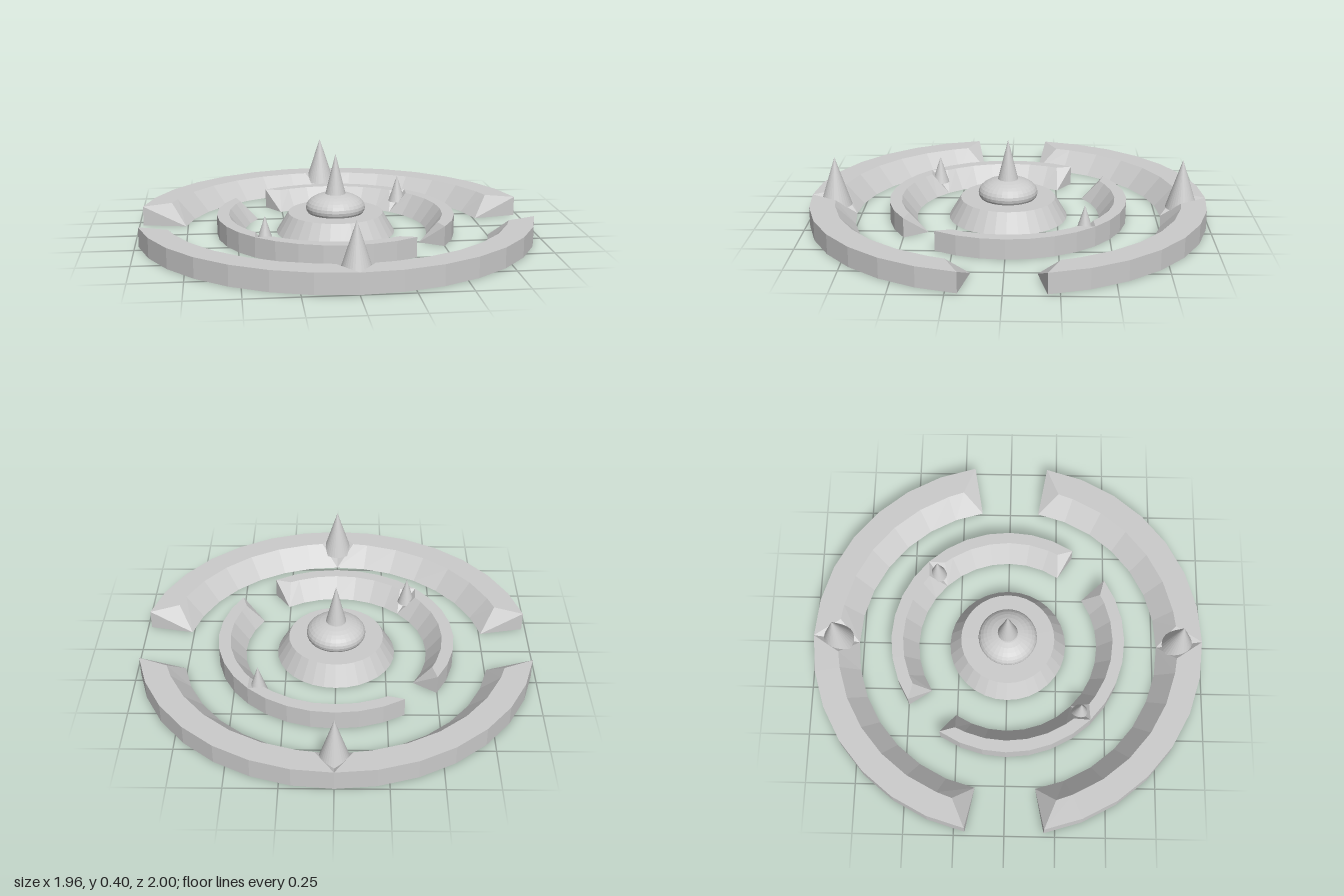
import * as THREE from 'three';

const material = new THREE.MeshStandardMaterial({ color: 0xcccccc, flatShading: true, side: THREE.DoubleSide });
const RIM = 0.1; // height of every ring
const STEP = Math.PI / 16; // the rings are 32-sided
const SEGMENTS = 7;

function addMesh(parent, name, geometry, x = 0, y = 0, z = 0) {
  const mesh = new THREE.Mesh(geometry, material);
  mesh.name = name;
  mesh.position.set(x, y, z);
  parent.add(mesh);
  return mesh;
}

const polar = (r, a, y) => [r * Math.cos(a), y, -r * Math.sin(a)];

// Curved bar: upright outer wall, sloping inner wall, bevelled ends
function arcGeometry(outer, innerTop, innerBottom, start) {
  const positions = [];
  const tri = (...corners) => corners.forEach(c => positions.push(...c));
  const sections = [];
  for (let i = 0; i <= SEGMENTS; i++) {
    const a = start + i * STEP;
    const inset = i === 0 ? 0.5 : i === SEGMENTS ? -0.53 : 0;
    sections.push([
      polar(outer, a, 0),
      polar(outer, a, RIM),
      polar(innerTop, a + inset * STEP, RIM),
      polar(innerBottom, a, 0),
    ]);
  }
  for (let i = 0; i < SEGMENTS; i++) {
    const p = sections[i], q = sections[i + 1];
    for (let j = 0; j < 4; j++) {
      const k = (j + 1) % 4;
      tri(p[j], q[j], q[k]);
      tri(p[j], q[k], p[k]);
    }
  }
  // End faces, folded along the line from inner bottom to outer top
  const [bo, to, ti, bi] = sections[0];
  tri(bi, bo, to);
  tri(bi, to, ti);
  const [eo, et, ei, eb] = sections[SEGMENTS];
  tri(eb, et, eo);
  tri(eb, ei, et);
  const geometry = new THREE.BufferGeometry();
  geometry.setAttribute('position', new THREE.Float32BufferAttribute(positions, 3));
  geometry.computeVertexNormals();
  return geometry;
}

// Two opposite arcs, each made of two bars meeting in a notch with a spike
function addRing(parent, name, { outer, innerTop, innerBottom, start, spikeAt, spikeRadius, spikeTop }) {
  const base = 0.05;
  const height = spikeTop - base;
  for (const side of [0, 1]) {
    const arc = new THREE.Group();
    arc.name = name + (side + 1);
    arc.rotation.y = side * Math.PI;
    for (const half of [0, 1]) {
      addMesh(arc, 'arcBar' + (half + 1),
        arcGeometry(outer, innerTop, innerBottom, start + half * SEGMENTS * STEP));
    }
    const [x, y, z] = polar(spikeAt, start + SEGMENTS * STEP, base + height / 2);
    addMesh(arc, 'spike', new THREE.ConeGeometry(spikeRadius, height, 32), x, y, z);
    parent.add(arc);
  }
}

export function createModel() {
  const model = new THREE.Group();
  model.name = 'ringedPlatform';

  addRing(model, 'outerArc', {
    outer: 1, innerTop: 0.873, innerBottom: 0.775, start: STEP,
    spikeAt: 0.88, spikeRadius: 0.081, spikeTop: 0.3,
  });
  addRing(model, 'innerArc', {
    outer: 0.6, innerTop: 0.54, innerBottom: 0.463, start: -3 * STEP,
    spikeAt: 0.53, spikeRadius: 0.045, spikeTop: 0.19,
  });

  // Central hub
  const hub = new THREE.Group();
  hub.name = 'hub';
  addMesh(hub, 'hubBase', new THREE.CylinderGeometry(0.24, 0.3, RIM, 32), 0, RIM / 2, 0);
  const dome = addMesh(hub, 'hubDome', new THREE.SphereGeometry(0.15, 32, 16), 0, 0.125, 0);
  dome.scale.y = 0.5;
  addMesh(hub, 'hubSpike', new THREE.ConeGeometry(0.056, 0.225, 32), 0, 0.2875, 0);
  model.add(hub);

  return model;
}
